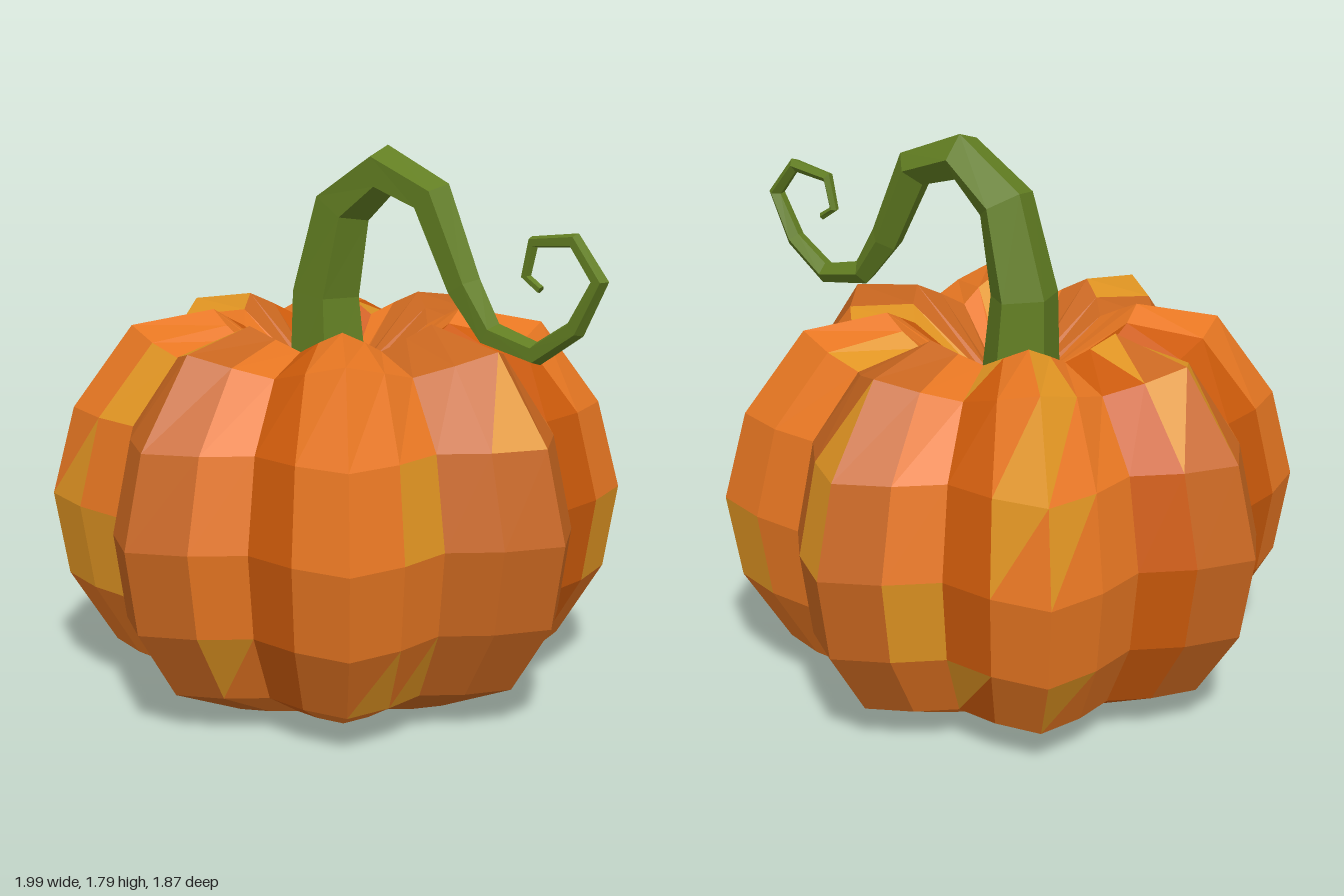
import * as THREE from 'three';

const mat = (name, color) => new THREE.MeshStandardMaterial({ name, color });

// Flat-shaded mesh from a list of triangles (each three Vector3)
function facets(name, tris, material) {
  const g = new THREE.BufferGeometry().setFromPoints(tris.flat());
  g.computeVertexNormals();
  const m = new THREE.Mesh(g, material);
  m.name = name;
  return m;
}

function createPumpkin() {
  const skins = {
    orange: mat('orange', 0xe87722),
    rust: mat('rustOrange', 0xc8661f),
    burnt: mat('burntOrange', 0xcc5a0a),
    gold: mat('golden', 0xe09422),
  };
  const COLS = 32;
  // Rings from the underside to the sunken top: radius, height, height lost in the grooves
  const rings = [
    [0, 0.07, 0], [0.1, 0.07, 0], [0.46, 0, 0], [0.74, 0.13, 0], [0.89, 0.365, 0],
    [0.935, 0.64, 0], [0.86, 0.93, 0], [0.665, 1.2, 0.07], [0.4, 1.25, 0.08],
    [0.1, 1.02, 0.04], [0, 1.0, 0],
  ];
  // Eight ribs, each four columns wide, with grooves between
  const groove = [0, 0.5, 1, 0.5];
  const point = (c, k) => {
    const a = (c * Math.PI * 2) / COLS, d = groove[c % 4];
    const [r, y, drop] = rings[k];
    const rr = r * (1 - 0.18 * d);
    return new THREE.Vector3(-0.065 + rr * Math.sin(a), y - drop * d, rr * Math.cos(a));
  };

  // Column colours repeat each quarter turn
  const base = ['rust', 'orange', 'burnt', 'orange', 'orange', 'orange', 'rust', 'rust'];
  // Golden patches, by ring: whole cells, then cells with one golden triangle
  const gold = {
    3: [8, 9],
    4: [11, 12, 17, 25, 28, 29],
    5: [5, 15],
    6: [29],
    7: [9, 13, 20, 24, 31],
    8: [4, 9],
  };
  const goldUpper = {
    3: [1, 18, 20, 25],
    5: [19, 20],
    6: [20, 23, 24],
    7: [18, 23],
  };
  const goldLower = {
    3: [4, 5],
    4: [9],
    5: [28],
    6: [7, 15, 19],
  };
  const lists = { orange: [], rust: [], burnt: [], gold: [] };
  for (let k = 0; k < rings.length - 1; k++) {
    for (let c = 0; c < COLS; c++) {
      const plain = c === 22 ? 'burnt' : k < 1 ? 'rust' : base[c % 8];
      const whole = gold[k]?.includes(c);
      const lower = whole || goldLower[k]?.includes(c);
      const upper = whole || goldUpper[k]?.includes(c);
      const p = point(c, k), q = point(c + 1, k), s = point(c + 1, k + 1), t = point(c, k + 1);
      if (rings[k][0] > 0) lists[lower ? 'gold' : plain].push([p, q, s]);
      if (rings[k + 1][0] > 0) lists[upper ? 'gold' : plain].push([p, s, t]);
    }
  }
  const group = new THREE.Group();
  group.name = 'pumpkin';
  for (const key in lists) group.add(facets(key + 'Skin', lists[key], skins[key]));
  return group;
}

function createStem() {
  // Curling centre line: x, y, radius
  const path = [
    [-0.095, 0.98, 0.135], [-0.11, 1.3, 0.113], [-0.035, 1.59, 0.096], [0.14, 1.715, 0.08],
    [0.335, 1.645, 0.068], [0.465, 1.385, 0.056], [0.57, 1.25, 0.043], [0.745, 1.215, 0.037],
    [0.885, 1.31, 0.032], [0.967, 1.46, 0.028], [0.875, 1.57, 0.024], [0.725, 1.55, 0.02],
    [0.7, 1.445, 0.016], [0.755, 1.41, 0.013],
  ];
  // Five sides with one flat side facing the front
  const SIDES = 5;
  const loops = path.map(([x, y, r], i) => {
    const a = path[Math.max(i - 1, 0)], b = path[Math.min(i + 1, path.length - 1)];
    const t = new THREE.Vector2(b[0] - a[0], b[1] - a[1]).normalize();
    return Array.from({ length: SIDES }, (_, j) => {
      const w = (j * Math.PI * 2) / SIDES - Math.PI / 2, n = r * Math.cos(w);
      return new THREE.Vector3(x - t.y * n, y + t.x * n, r * Math.sin(w));
    });
  });
  const tris = [];
  for (let i = 0; i < loops.length - 1; i++) {
    for (let j = 0; j < SIDES; j++) {
      const n = (j + 1) % SIDES;
      const p = loops[i][j], q = loops[i][n], s = loops[i + 1][n], t = loops[i + 1][j];
      tris.push([p, q, s], [p, s, t]);
    }
  }
  // Closed tip
  const tip = loops[loops.length - 1];
  for (let j = 1; j < SIDES - 1; j++) tris.push([tip[0], tip[j], tip[j + 1]]);
  return facets('curledStem', tris, mat('stemGreen', 0x627e22));
}

export function createModel() {
  const model = new THREE.Group();
  model.name = 'pumpkinWithStem';
  model.add(createPumpkin(), createStem());
  return model;
}
